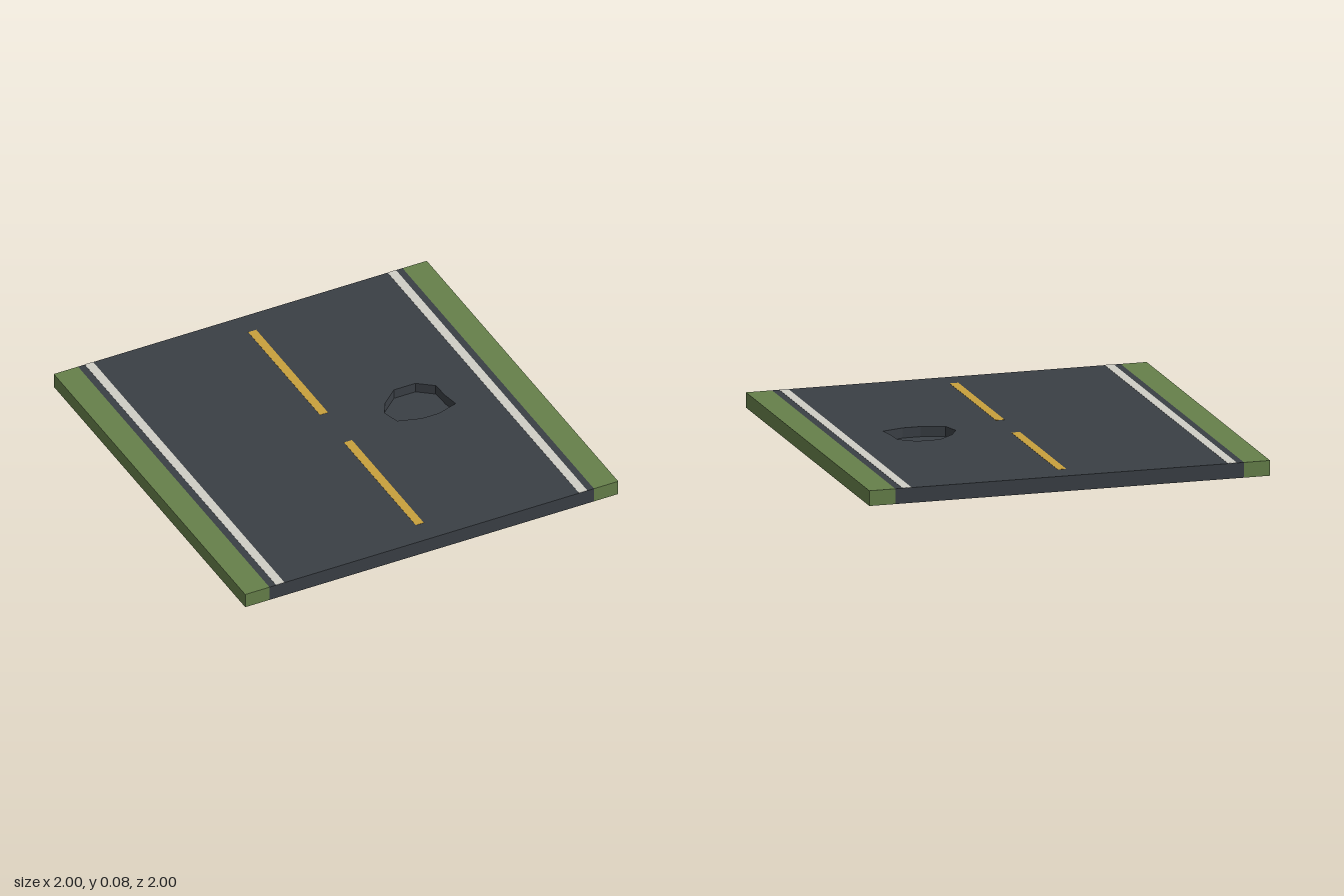
import * as THREE from 'three';
import { mergeGeometries } from 'three/addons/utils/BufferGeometryUtils.js';

const TOP = 0.075, EDGE = 0.87, FLOOR = 0.025;

const flat = (name, color) => {
  const m = new THREE.MeshStandardMaterial({ color, side: THREE.DoubleSide });
  m.name = name;
  return m;
};

// Vertical panel standing between two (x, z) points
function panel([x0, z0], [x1, z1], low = 0, high = TOP) {
  const g = new THREE.PlaneGeometry(1, 1);
  const p = g.attributes.position;
  for (let i = 0; i < 4; i++) {
    const end = i % 2;
    p.setXYZ(i, end ? x1 : x0, i < 2 ? high : low, end ? z1 : z0);
  }
  g.computeVertexNormals();
  return g;
}

// Horizontal sheet from a shape drawn with y = -z
const sheet = (shape, y) => new THREE.ShapeGeometry(shape).rotateX(-Math.PI / 2).translate(0, y, 0);
const outline = (pts) => new THREE.Shape(pts.map(([x, z]) => new THREE.Vector2(x, -z)));
const rect = (x0, x1) => outline([[x0, 1], [x1, 1], [x1, -1], [x0, -1]]);

export function createModel() {
  const model = new THREE.Group();
  model.name = 'roadTile';
  const asphalt = flat('asphalt', 0x3a3f45);
  const grass = flat('grass', 0x66804a);
  const white = flat('edgePaint', 0xd0cec6);
  const yellow = flat('centrePaint', 0xc8a03c);

  const add = (name, geometry, material) => {
    const mesh = new THREE.Mesh(geometry, material);
    mesh.name = name;
    model.add(mesh);
    return mesh;
  };

  // Irregular pothole outline, counter-clockwise from above
  const hole = [
    [0.26, 0], [0.285, 0.085], [0.40, 0.12], [0.49, 0.12], [0.597, 0.087],
    [0.583, 0.01], [0.578, -0.085], [0.50, -0.145], [0.385, -0.145], [0.30, -0.07],
  ];

  // Road shell, open underneath
  const road = rect(-EDGE, EDGE);
  road.holes.push(new THREE.Path(hole.map(([x, z]) => new THREE.Vector2(x, -z))));
  add('roadSurface', sheet(road, TOP), asphalt);
  add('roadSides', mergeGeometries([
    panel([-EDGE, 1], [EDGE, 1]),
    panel([EDGE, -1], [-EDGE, -1]),
    panel([EDGE, 1], [EDGE, -1], 0.03),
    panel([-EDGE, -1], [-EDGE, 1], 0.03),
  ]), asphalt);

  // Pothole walls and sunken floor
  add('potholeWalls', mergeGeometries(
    hole.map((p, i) => panel(hole[(i + 1) % hole.length], p))), asphalt);
  add('potholeFloor', sheet(outline(hole), FLOOR), asphalt);

  // Grass verges and white edge lines on both sides
  for (const s of [1, -1]) {
    const side = s > 0 ? 'left' : 'right';
    const a = Math.min(s * EDGE, s), b = Math.max(s * EDGE, s);
    add(side + 'Verge', mergeGeometries([
      sheet(rect(a, b), TOP),
      panel([a, 1], [b, 1]),
      panel([b, -1], [a, -1]),
      panel([s, s], [s, -s]),
    ].map((g) => g.toNonIndexed())), grass);
    add(side + 'EdgeLine', new THREE.BoxGeometry(0.045, 0.001, 2), white)
      .position.set(s * 0.812, TOP + 0.001, 0);
  }

  // Dashed centre line
  for (const z of [-0.5, 0.5]) {
    add('centreDash', new THREE.BoxGeometry(0.043, 0.001, 0.75), yellow)
      .position.set(0, TOP + 0.001, z);
  }
  return model;
}
